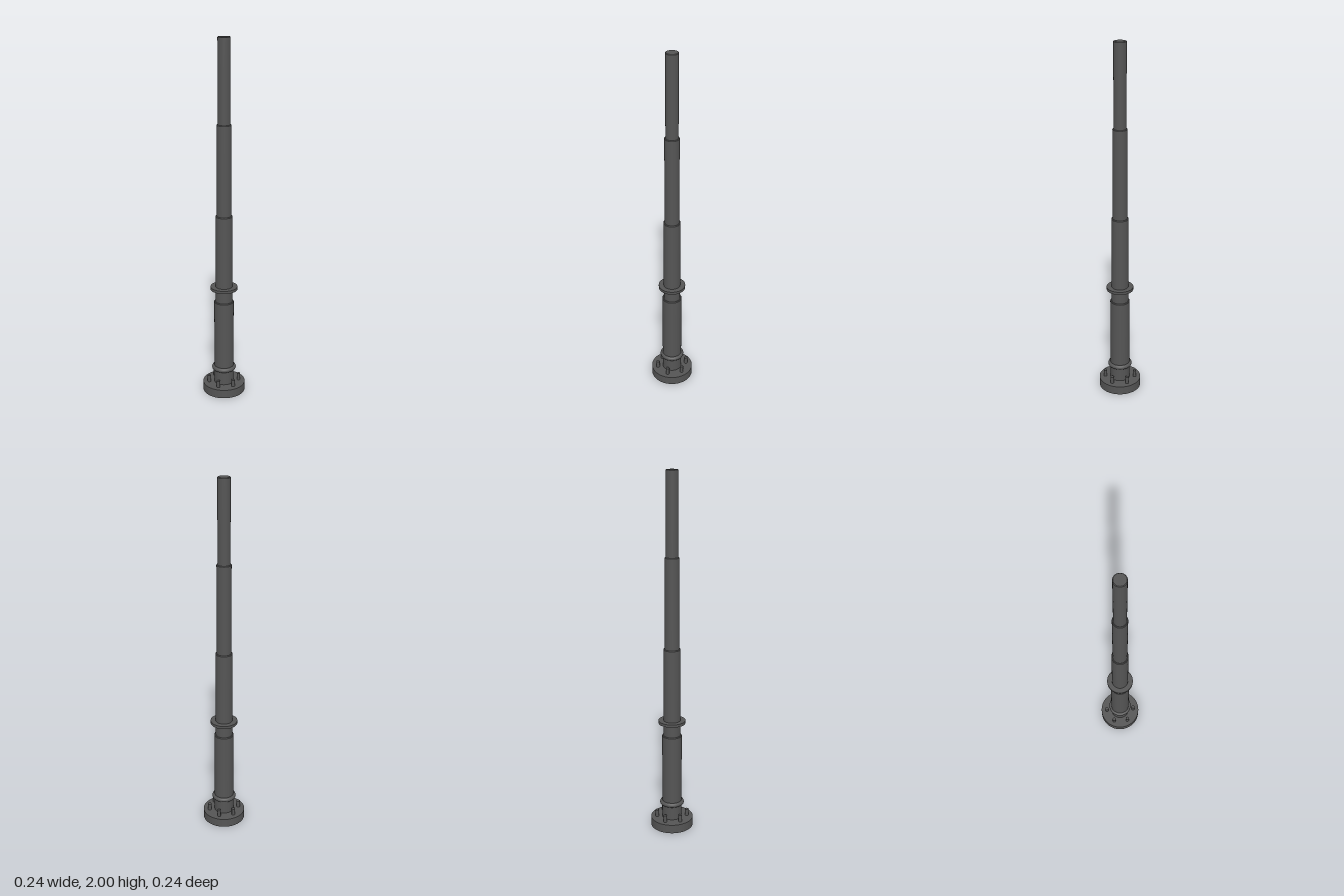
import * as THREE from 'three';

export function createModel() {
  const model = new THREE.Group();
  const darkMetal = new THREE.MeshStandardMaterial({ color: 0x555555 });
  darkMetal.name = 'darkMetal';

  const add = (geometry, name, x = 0, y = 0, z = 0) => {
    const mesh = new THREE.Mesh(geometry, darkMetal);
    mesh.name = name;
    mesh.position.set(x, y, z);
    model.add(mesh);
    return mesh;
  };
  // Upright cylinder from y0 to y1
  const post = (name, r, y0, y1, x = 0, z = 0, sides = 48) =>
    add(new THREE.CylinderGeometry(r, r, y1 - y0, sides), name, x, (y0 + y1) / 2, z);

  // Mounting base
  post('basePlate', 0.119, 0, 0.05, 0, 0, 64);

  // Ring of six anchor bolts
  for (let i = 0; i < 6; i++) {
    const a = (i * Math.PI) / 3;
    post('anchorBolt', 0.01, 0.045, 0.09, 0.085 * Math.cos(a), 0.085 * Math.sin(a), 16);
  }

  // Telescoping tubes with a fine chamfer at each top edge
  const tubes = [
    [0.055, 0.05, 0.55],
    [0.047, 0.55, 1.05],
    [0.04, 1.05, 1.55],
    [0.034, 1.55, 2],
  ];
  const chamfer = 0.003;
  tubes.forEach(([r, y0, y1], i) => {
    post('mastTube' + (i + 1), r, y0 - 0.005, y1 - chamfer);
    add(new THREE.CylinderGeometry(r - chamfer, r, chamfer, 48), 'tubeLip' + (i + 1), 0, y1 - chamfer / 2);
  });

  // Rounded collar near the foot
  add(new THREE.TorusGeometry(0.055, 0.013, 16, 64), 'lowerCollar', 0, 0.141).rotation.x = Math.PI / 2;

  // Flat flange on the second tube
  post('flange', 0.075, 0.622, 0.638, 0, 0, 64);

  return model;
}
